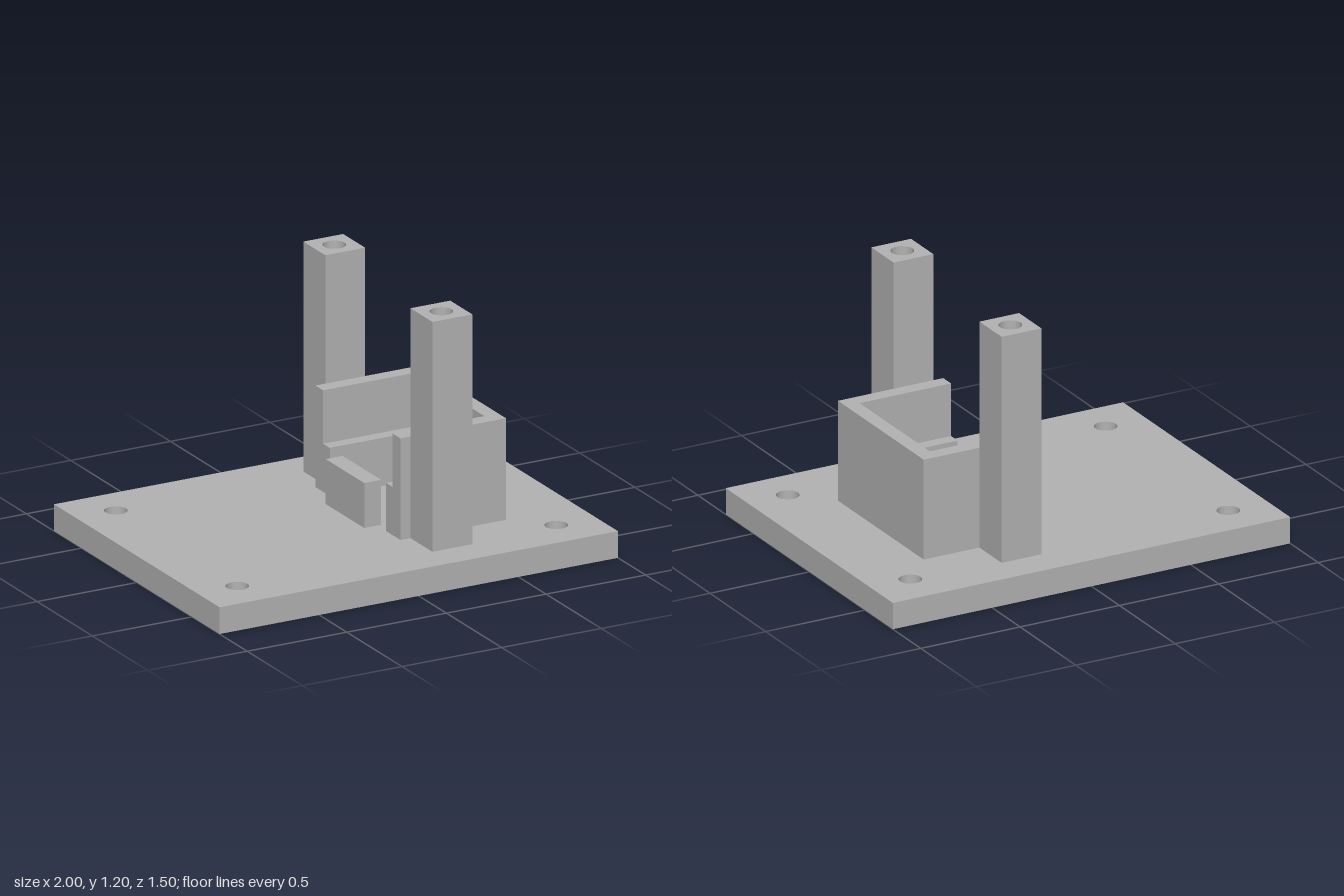
import * as THREE from 'three';
import { toCreasedNormals } from 'three/addons/utils/BufferGeometryUtils.js';

const PLATE_TOP = 0.125;

// Closed outline in plan; shape y becomes -z once the extrusion is laid flat
function outline(points) {
  return new THREE.Shape(points.map(([x, z]) => new THREE.Vector2(x, -z)));
}

function rectangle(x0, x1, z0, z1) {
  return outline([[x0, z0], [x0, z1], [x1, z1], [x1, z0]]);
}

function addHole(shape, x, z, radius) {
  const hole = new THREE.Path();
  hole.absarc(x, -z, radius, 0, Math.PI * 2, true);
  shape.holes.push(hole);
}

// Raise a plan shape from y0 to y1
function raise(shape, y0, y1) {
  const geometry = new THREE.ExtrudeGeometry(shape, { depth: y1 - y0, bevelEnabled: false, curveSegments: 32 });
  geometry.rotateX(-Math.PI / 2);
  geometry.translate(0, y0, 0);
  return toCreasedNormals(geometry, 0.6);
}

export function createModel() {
  const model = new THREE.Group();
  model.name = 'mountingBracket';
  const grey = new THREE.MeshStandardMaterial({ color: 0xb3b3b3 });
  grey.name = 'grey';

  function add(name, geometry, parent = model) {
    const mesh = new THREE.Mesh(geometry, grey);
    mesh.name = name;
    parent.add(mesh);
  }

  // Base plate with four screw holes
  const plate = rectangle(-1, 1, -0.75, 0.75);
  for (const x of [-0.8, 0.8]) {
    for (const z of [-0.55, 0.55]) addHole(plate, x, z, 0.052);
  }
  add('basePlate', raise(plate, 0, PLATE_TOP));

  // U-shaped holder, open towards -x
  add('holderWall', raise(outline([
    [0.11, -0.385], [0.11, -0.315], [0.57, -0.315], [0.57, 0.315],
    [0.11, 0.315], [0.11, 0.385], [0.64, 0.385], [0.64, -0.385],
  ]), PLATE_TOP, 0.6));

  // Low stop across the open side
  add('stopBlock', raise(rectangle(0.045, 0.13, -0.175, 0.175), PLATE_TOP, 0.335));

  for (const side of [1, -1]) {
    const label = side > 0 ? 'front' : 'back';

    // Ledge along the inside of each holder arm
    const ledgeZ = [side * 0.255, side * 0.315].sort((a, b) => a - b);
    add(label + 'Ledge', raise(rectangle(0.11, 0.57, ...ledgeZ), PLATE_TOP, 0.35));

    // Tall post: solid foot, then a bored upper part
    const post = new THREE.Group();
    post.name = label + 'Post';
    model.add(post);
    const z = side * 0.485;
    const foot = rectangle(0.16, 0.36, z - 0.1, z + 0.1);
    add(label + 'PostFoot', raise(foot, PLATE_TOP, 0.7), post);
    const bored = rectangle(0.16, 0.36, z - 0.1, z + 0.1);
    addHole(bored, 0.26, z, 0.052);
    add(label + 'PostTop', raise(bored, 0.7, 1.2), post);
  }
  return model;
}
